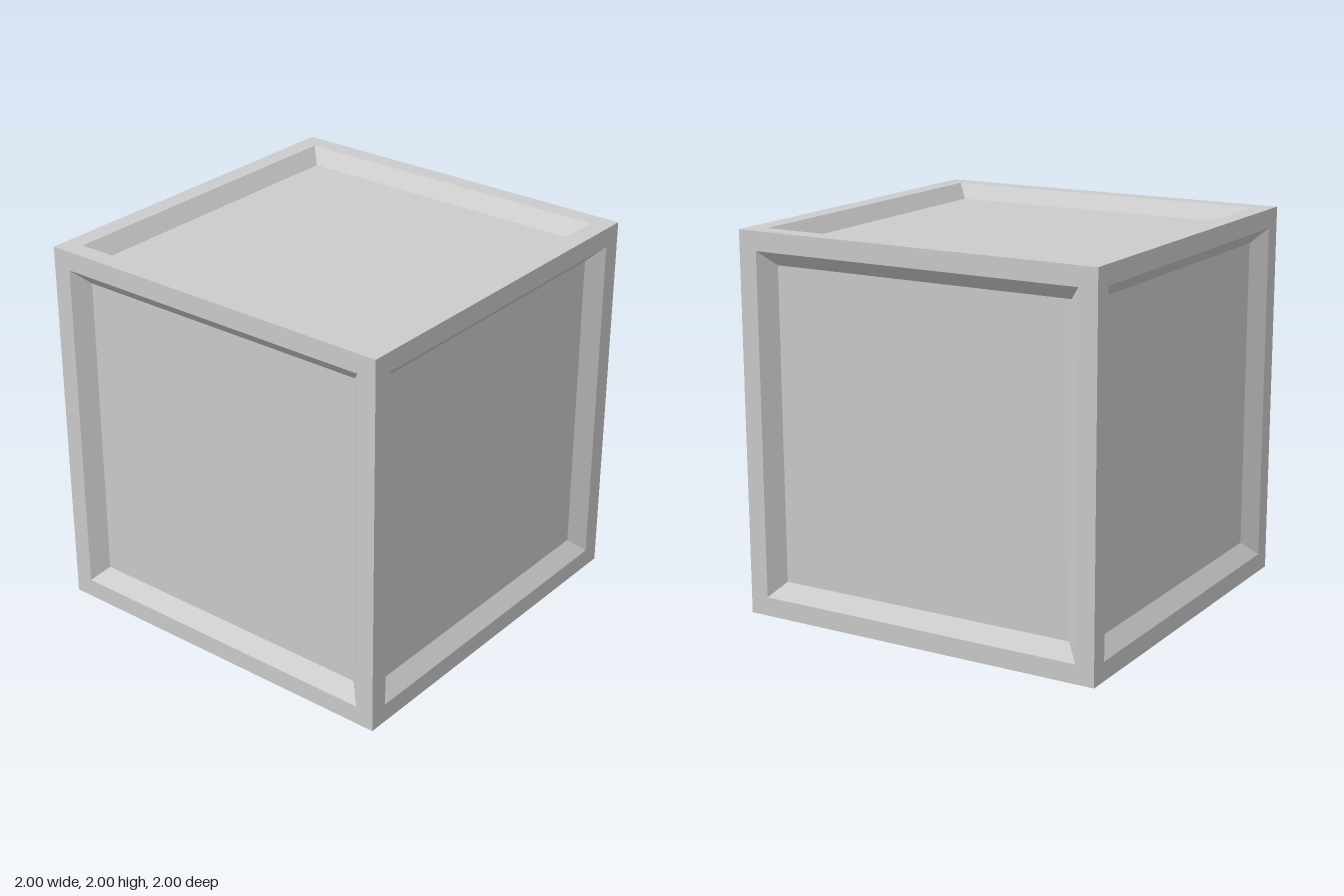
import * as THREE from 'three';

const HALF = 1;         // half the cube's edge
const OPENING = 0.9;    // half-width of the recess at the surface
const FLOOR = 0.825;    // half-width of the recess floor
const DEPTH = 0.075;    // depth of the recess

const material = new THREE.MeshStandardMaterial({ color: 0xcccccc, flatShading: true });

// Square ring around +y, between two [half-width, height] outlines
function squareRing(name, outer, inner) {
  const points = [outer, inner].map(([w, y]) => new THREE.Vector2(w * Math.SQRT2, y));
  const geometry = new THREE.LatheGeometry(points, 4, Math.PI / 4).toNonIndexed();
  geometry.computeVertexNormals();
  const mesh = new THREE.Mesh(geometry, material);
  mesh.name = name;
  return mesh;
}

// One side of the cube, facing +y: flat rim, sloped walls and sunken panel
function createSide(name) {
  const side = new THREE.Group();
  side.name = name;
  const floorY = HALF - DEPTH;
  const panel = new THREE.Mesh(
    new THREE.PlaneGeometry(2 * FLOOR, 2 * FLOOR).rotateX(-Math.PI / 2).translate(0, floorY, 0),
    material
  );
  panel.name = 'panel';
  side.add(
    squareRing('rim', [HALF, HALF], [OPENING, HALF]),
    squareRing('slopedWalls', [OPENING, HALF], [FLOOR, floorY]),
    panel
  );
  return side;
}

export function createModel() {
  const model = new THREE.Group();
  model.name = 'panelledCube';
  const q = Math.PI / 2;

  // Six identical sides, turned to face each direction
  const sides = [
    ['topSide', 0, 0],
    ['bottomSide', 2 * q, 0],
    ['frontSide', q, 0],
    ['backSide', -q, 0],
    ['leftSide', 0, -q],
    ['rightSide', 0, q],
  ];
  for (const [name, rx, rz] of sides) {
    const side = createSide(name);
    side.rotation.set(rx, 0, rz);
    side.position.y = HALF;
    model.add(side);
  }
  return model;
}
